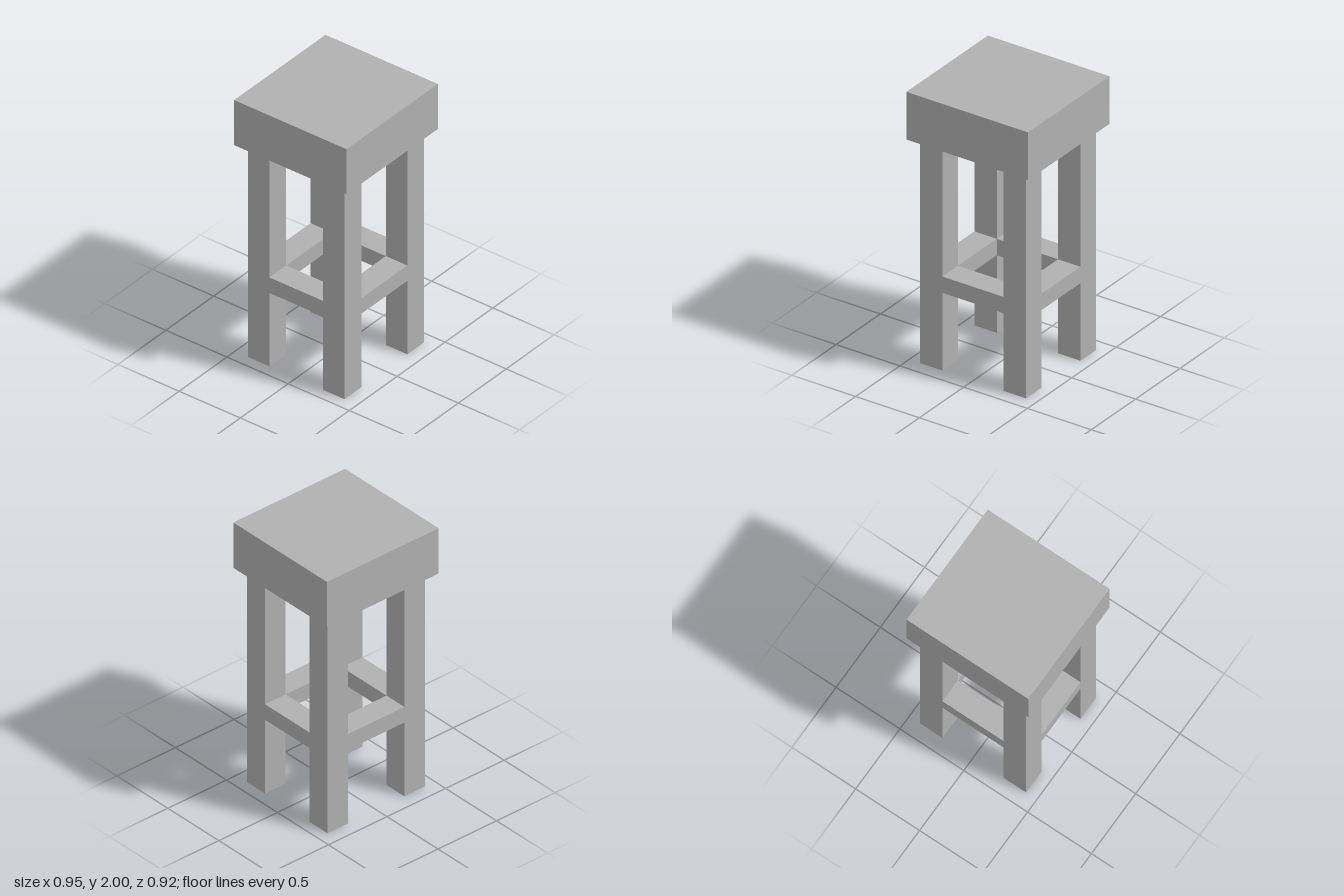
import * as THREE from 'three';

export function createModel() {
  const model = new THREE.Group();
  model.name = 'stool';
  const grey = new THREE.MeshStandardMaterial({ color: 0xb0b0b0 });
  grey.name = 'plain grey';

  // Adds a box given its size, centre x and z, and bottom y
  const addBox = (name, w, h, d, x, y, z) => {
    const mesh = new THREE.Mesh(new THREE.BoxGeometry(w, h, d), grey);
    mesh.name = name;
    mesh.position.set(x, y + h / 2, z);
    model.add(mesh);
  };

  const seatBottom = 1.65;
  const leg = 0.176; // leg and rail thickness
  const legX = 0.328, legZ = 0.307; // leg centres
  const railBottom = 0.57, railHeight = 0.12;

  // Thick block seat
  addBox('seat', 0.954, 2 - seatBottom, 0.918, 0, seatBottom, 0);

  // Four square legs
  for (const [sx, side] of [[1, 'left'], [-1, 'right']]) {
    for (const [sz, end] of [[1, 'front'], [-1, 'back']]) {
      addBox(`${end} ${side} leg`, leg, seatBottom, leg, sx * legX, 0, sz * legZ);
    }
  }

  // Footrest rails between the legs, flush with them
  for (const [s, end, side] of [[1, 'front', 'left'], [-1, 'back', 'right']]) {
    addBox(`${end} rail`, 2 * legX - leg, railHeight, leg, 0, railBottom, s * legZ);
    addBox(`${side} rail`, leg, railHeight, 2 * legZ - leg, s * legX, railBottom, 0);
  }

  return model;
}
